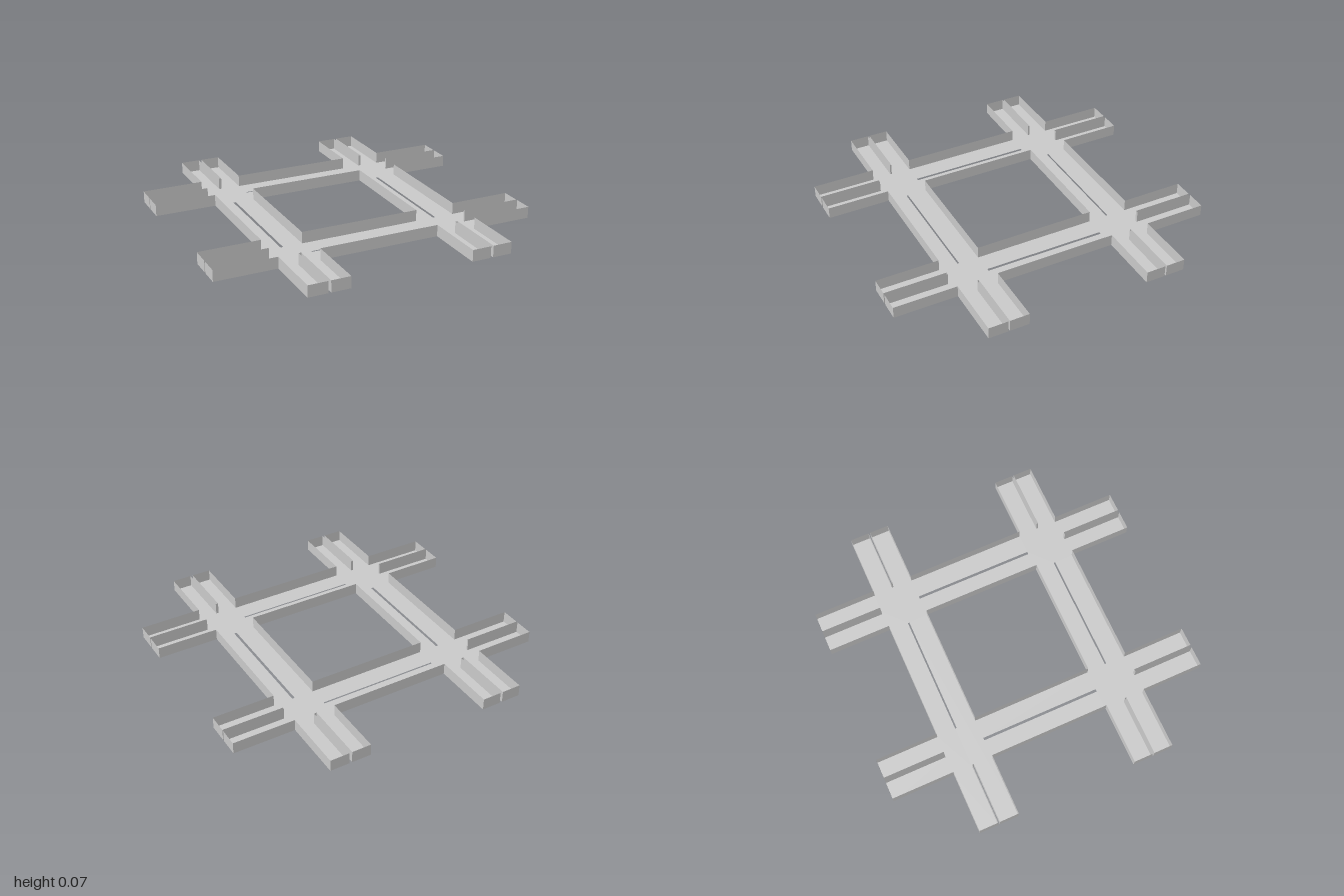
import * as THREE from 'three';

const HEIGHT = 0.071;
// bands along z lie between XI and XO, bands along x between ZI and ZO
const XI = 0.372, XO = 0.623, ZI = 0.371, ZO = 0.617;
const XC = 0.497, ZC = 0.495; // slit centres
const XH = 0.008, ZH = 0.005; // slit half widths

const rect = (x0, z0, x1, z1) => [[x0, z0], [x1, z0], [x1, z1], [x0, z1]];

// one quarter of the outer outline, including the open slits in the arms
const quarter = [
  [XI, ZO], [XI, 1], [XC - XH, 1], [XC - XH, ZO + 0.005], [XC + XH, ZO + 0.005], [XC + XH, 1],
  [XO, 1], [XO, ZO], [1, ZO], [1, ZC + ZH], [XO + 0.005, ZC + ZH], [XO + 0.005, ZC - ZH],
  [1, ZC - ZH], [1, ZI], [XO, ZI],
];

// mirror the quarter into the four corners, keeping a continuous loop
function fullOutline() {
  const loop = [];
  for (const [sx, sz] of [[1, 1], [1, -1], [-1, -1], [-1, 1]]) {
    const points = quarter.map(([x, z]) => [x * sx, z * sz]);
    loop.push(...(sx * sz < 0 ? points.reverse() : points));
  }
  return loop;
}

// upright thin wall following a closed loop
function wallGeometry(loop) {
  const positions = [];
  loop.forEach(([x0, z0], i) => {
    const [x1, z1] = loop[(i + 1) % loop.length];
    positions.push(
      x0, 0, z0, x1, 0, z1, x1, HEIGHT, z1,
      x0, 0, z0, x1, HEIGHT, z1, x0, HEIGHT, z0,
    );
  });
  const geometry = new THREE.BufferGeometry();
  geometry.setAttribute('position', new THREE.Float32BufferAttribute(positions, 3));
  geometry.computeVertexNormals();
  return geometry;
}

export function createModel() {
  const model = new THREE.Group();
  model.name = 'crossedTray';
  const material = new THREE.MeshStandardMaterial({ color: 0xcccccc, side: THREE.DoubleSide });
  const add = (name, geometry) => {
    const mesh = new THREE.Mesh(geometry, material);
    mesh.name = name;
    model.add(mesh);
  };

  const outline = fullOutline();
  const opening = rect(-XI, -ZI, XI, ZI);

  // floor with the central opening and four closed slots
  const toVectors = (loop) => loop.map(([x, z]) => new THREE.Vector2(x, -z));
  const floor = new THREE.Shape(toVectors(outline));
  const holes = [opening];
  for (const s of [-1, 1]) {
    holes.push(rect(s * XC - XH, -0.37, s * XC + XH, 0.37));
    holes.push(rect(-0.368, s * ZC - ZH, 0.368, s * ZC + ZH));
  }
  for (const hole of holes) floor.holes.push(new THREE.Path(toVectors(hole)));
  add('floor', new THREE.ShapeGeometry(floor).rotateX(-Math.PI / 2));

  // rims around the outside and the central opening
  add('outerWall', wallGeometry(outline));
  add('openingWall', wallGeometry(opening));
  return model;
}
